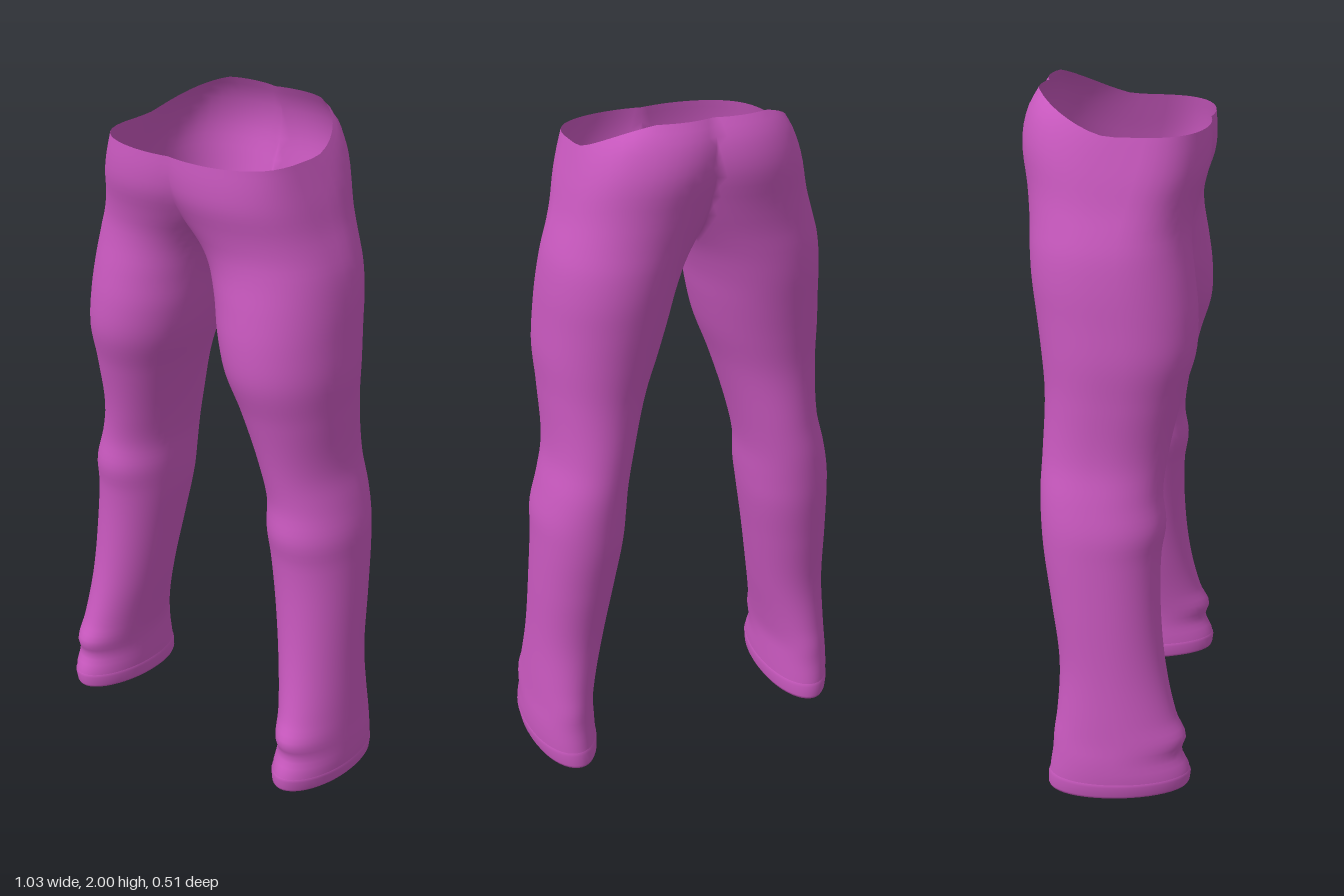
import * as THREE from 'three';
import { mergeVertices } from 'three/addons/utils/BufferGeometryUtils.js';

const SEG = 48;

// Cross-sections of one trouser leg: y, inner x, outer x, front z, back z, front roundness
// A negative inner x means the section is cut off at the middle of the body.
const SECTIONS = [
  [0.00, 0.312, 0.503, 0.250, -0.165, 1.05],
  [0.06, 0.310, 0.511, 0.252, -0.160, 1.05],
  [0.13, 0.312, 0.510, 0.228, -0.150, 1.05],
  [0.18, 0.312, 0.506, 0.240, -0.147, 1.05],
  [0.25, 0.302, 0.501, 0.212, -0.138, 1.0],
  [0.40, 0.272, 0.490, 0.176, -0.132, 1.0],
  [0.60, 0.237, 0.481, 0.156, -0.158, 0.95],
  [0.75, 0.212, 0.473, 0.157, -0.180, 0.95],
  [0.83, 0.204, 0.468, 0.168, -0.186, 0.95],
  [0.92, 0.198, 0.448, 0.157, -0.189, 0.95],
  [1.02, 0.178, 0.424, 0.167, -0.185, 0.95],
  [1.20, 0.128, 0.421, 0.205, -0.180, 0.9],
  [1.32, 0.085, 0.425, 0.238, -0.192, 0.9],
  [1.42, 0.058, 0.419, 0.240, -0.206, 0.9],
  [1.52, 0.035, 0.411, 0.228, -0.220, 0.9],
  [1.61, 0.002, 0.396, 0.215, -0.227, 0.85],
  [1.66, -0.030, 0.380, 0.215, -0.230, 0.8],
  [1.72, -0.075, 0.358, 0.228, -0.240, 0.7],
  [1.80, -0.120, 0.335, 0.252, -0.258, 0.6],
  [1.86, -0.140, 0.316, 0.256, -0.245, 0.55],
  [1.91, -0.150, 0.300, 0.253, -0.215, 0.55],
];
const profile = new THREE.CubicInterpolant(
  SECTIONS.map((s) => s[0]), SECTIONS.flatMap((s) => s.slice(1)), 5);

// One ring of points at height y, grown outwards by "grow" and moved up by "lift"
function ring(y, grow = 0, lift = 0) {
  const [xin, xout, zf, zb, round] = profile.evaluate(y);
  const cx = (xin + xout) / 2, rx = (xout - xin) / 2 + grow;
  const cz = (zf + zb) / 2, rz = (zf - zb) / 2 + grow;
  const limit = xin < 0 ? Math.acos(-cx / rx) : Math.PI;
  const points = [];
  for (let i = 0; i <= SEG; i++) {
    const raw = (i / SEG) * 2 * Math.PI - Math.PI;
    const a = THREE.MathUtils.clamp(raw, -limit, limit);
    const s = Math.sin(a);
    let x = Math.max(0, cx + rx * Math.cos(a));
    if (Math.abs(raw) >= limit && xin < 0) x = 0;
    const z = cz + rz * Math.sign(s) * Math.abs(s) ** (s > 0 ? round : 0.9);
    // Waist rises at the back, hem rises at the front
    const waist = THREE.MathUtils.smoothstep(y, 1.6, 1.91) * 0.09 * Math.min(1, Math.max(0, -z) / 0.2) ** 1.4;
    const hem = Math.max(0, 1 - y / 0.25) * 0.035 * (z - zb) / (zf - zb);
    points.push([x, y + waist + hem + lift, z]);
  }
  return points;
}

// Skin a stack of rings (top to bottom) on both sides of the body
function skin(rings) {
  const pos = [];
  const tri = (a, b, c) => {
    if (a[0] < 1e-5 && b[0] < 1e-5 && c[0] < 1e-5) return; // nothing in the middle plane
    pos.push(...a, ...b, ...c);
    for (const p of [a, c, b]) pos.push(-p[0], p[1], p[2]);
  };
  for (let j = 0; j < rings.length - 1; j++) {
    for (let i = 0; i < SEG; i++) {
      const a = rings[j][i], b = rings[j][i + 1], c = rings[j + 1][i], d = rings[j + 1][i + 1];
      tri(a, b, c);
      tri(b, d, c);
    }
  }
  const g = new THREE.BufferGeometry();
  g.setAttribute('position', new THREE.Float32BufferAttribute(pos, 3));
  const merged = mergeVertices(g, 1e-5);
  merged.computeVertexNormals();
  return merged;
}

export function createModel() {
  const group = new THREE.Group();
  group.name = 'trousers';
  const cloth = new THREE.MeshStandardMaterial({ color: 0xc858be, side: THREE.DoubleSide });
  cloth.name = 'magenta cloth';

  const add = (name, rings) => {
    const mesh = new THREE.Mesh(skin(rings), cloth);
    mesh.name = name;
    group.add(mesh);
  };

  // Hips and both legs as one continuous cloth
  const rows = 90;
  const body = [];
  for (let j = 0; j <= rows; j++) body.push(ring(THREE.MathUtils.lerp(1.91, 0.05, j / rows)));
  add('hipsAndLegs', body);

  // Hem bands, folded inwards at the bottom
  add('hems', [
    ring(0.055), ring(0.045, 0.003), ring(0.01, 0.002), ring(0, -0.002),
    ring(0, -0.01, 0.004), ring(0.03, -0.014), ring(0.055, -0.012),
  ]);
  return group;
}
